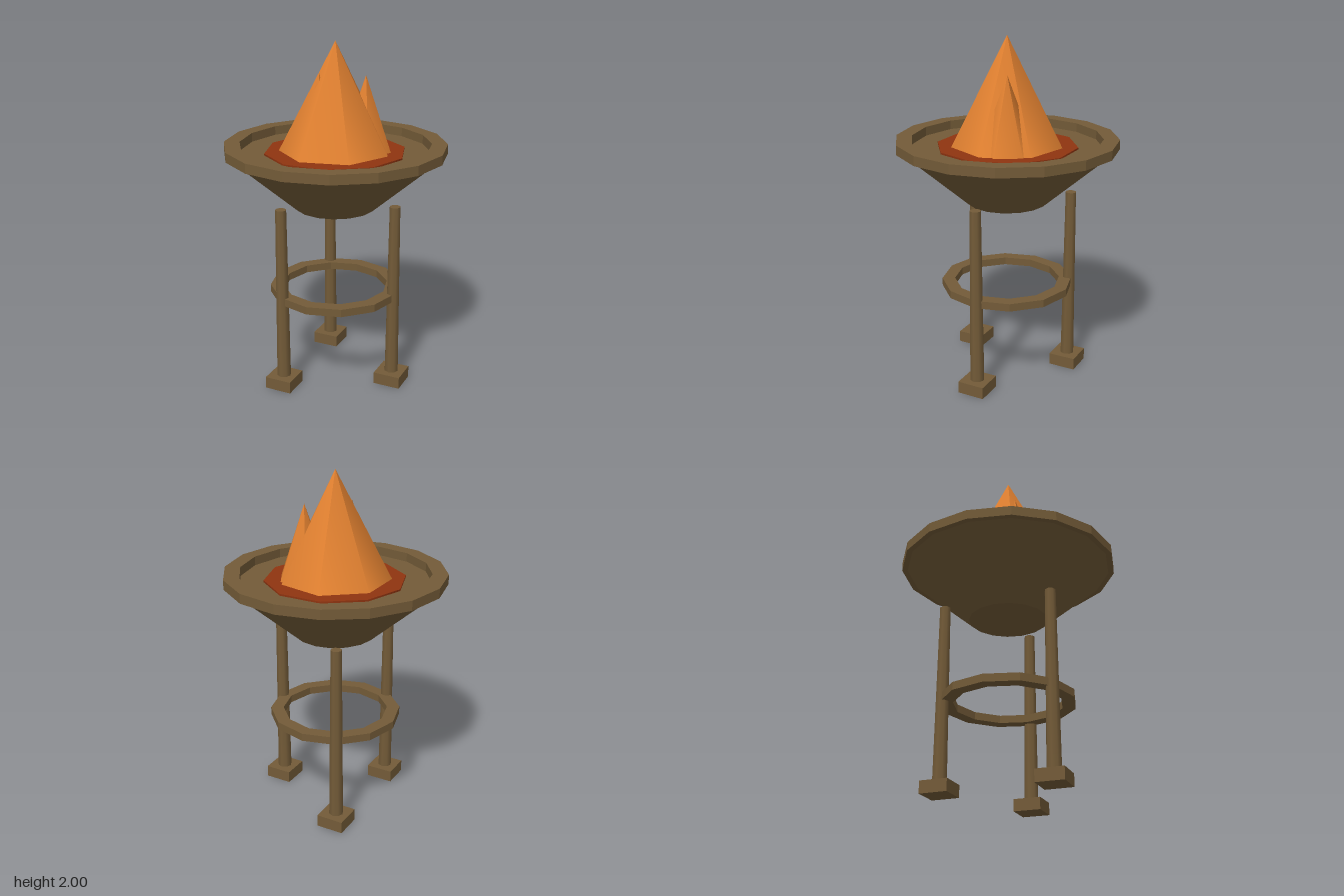
import * as THREE from 'three';

export function createModel() {
  const model = new THREE.Group();
  const mat = (name, color) => {
    const m = new THREE.MeshStandardMaterial({ color });
    m.name = name;
    return m;
  };
  const bronze = mat('bronze', 0x735b38);
  const ember = mat('ember red', 0x8f3410);
  const fire = mat('flame orange', 0xe08030);

  const add = (name, geometry, material, x, y, z) => {
    const mesh = new THREE.Mesh(geometry, material);
    mesh.name = name;
    mesh.position.set(x, y, z);
    model.add(mesh);
    return mesh;
  };

  // Faceted ring with a rectangular section
  const ring = (inner, outer, height, sides) => {
    const h = height / 2;
    const profile = [[inner, -h], [outer, -h], [outer, h], [inner, h], [inner, -h]]
      .map(([r, y]) => new THREE.Vector2(r, y));
    const geometry = new THREE.LatheGeometry(profile, sides).toNonIndexed();
    geometry.computeVertexNormals();
    return geometry;
  };

  // Three tapered legs on square feet
  for (let i = 0; i < 3; i++) {
    const a = (i * Math.PI * 2) / 3;
    const x = 0.37 * Math.cos(a);
    const z = 0.32 / Math.sin(Math.PI / 3) * Math.sin(a);
    add('leg', new THREE.CylinderGeometry(0.032, 0.042, 1.06, 8), bronze, x, 0.57, z);
    add('foot', new THREE.BoxGeometry(0.16, 0.07, 0.16), bronze, x, 0.035, z);
  }

  // Brace ring between the legs
  add('braceRing', ring(0.31, 0.385, 0.045, 12), bronze, 0, 0.548, 0);

  // Bowl and its raised rim
  add('bowl', new THREE.CylinderGeometry(0.605, 0.23, 0.325, 16), bronze, 0, 1.2125, 0);
  add('rim', ring(0.545, 0.635, 0.055, 16), bronze, 0, 1.4, 0);

  // Ember bed
  add('embers', new THREE.CylinderGeometry(0.405, 0.405, 0.03, 10), ember, 0, 1.37, 0)
    .rotation.y = Math.PI / 2;

  // Flames: main cone and two smaller tongues
  const flame = (name, radius, tip, sides, x, z) => {
    const base = 1.375;
    add(name, new THREE.ConeGeometry(radius, tip - base, sides), fire, x, (tip + base) / 2, z)
      .rotation.y = Math.PI / 2;
  };
  flame('mainFlame', 0.325, 2, 7, 0, 0);
  flame('sideFlame', 0.16, 1.81, 6, 0.15, -0.08);
  flame('smallFlame', 0.14, 1.83, 5, -0.065, 0.07);

  return model;
}
